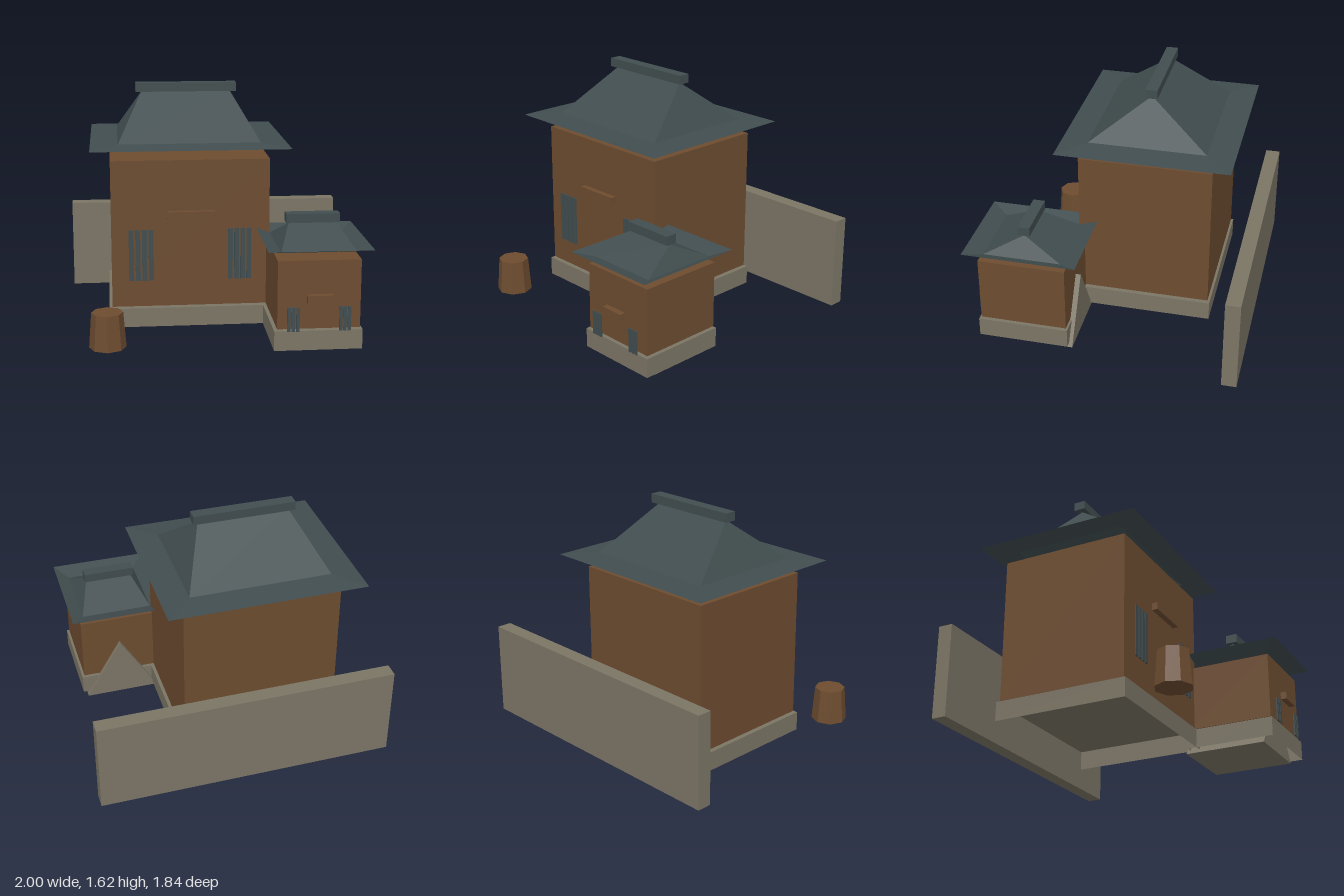
import * as THREE from 'three';

const wood = new THREE.MeshStandardMaterial({ color: 0x6d4c30, flatShading: true, side: THREE.DoubleSide });
wood.name = 'brown timber';
const stone = new THREE.MeshStandardMaterial({ color: 0x7b7565, flatShading: true, side: THREE.DoubleSide });
stone.name = 'grey stone';
const slate = new THREE.MeshStandardMaterial({ color: 0x414d4f, flatShading: true, side: THREE.DoubleSide });
slate.name = 'slate tile';

function add(parent, name, geometry, material) {
  const mesh = new THREE.Mesh(geometry, material);
  mesh.name = name;
  parent.add(mesh);
  return mesh;
}

// Box given by its limits along each axis
function box(parent, name, material, [x0, x1], [y0, y1], [z0, z1]) {
  const geometry = new THREE.BoxGeometry(x1 - x0, y1 - y0, z1 - z0);
  geometry.translate((x0 + x1) / 2, (y0 + y1) / 2, (z0 + z1) / 2);
  return add(parent, name, geometry, material);
}

// Plinth with an open underside
function plinth(parent, x, y, z) {
  const mesh = box(parent, 'plinth', stone, x, y, z);
  const index = Array.from(mesh.geometry.index.array);
  index.splice(18, 6); // drop the bottom face
  mesh.geometry.setIndex(index);
  mesh.geometry.clearGroups();
}

// Rectangular rings, each [x0, x1, z0, z1, y], joined into a shell
function ringShell(rings) {
  const positions = [];
  const corners = rings.map(([x0, x1, z0, z1, y]) =>
    [[x0, y, z1], [x1, y, z1], [x1, y, z0], [x0, y, z0]]);
  for (let r = 0; r < corners.length - 1; r++) {
    for (let i = 0; i < 4; i++) {
      const j = (i + 1) % 4;
      const a = corners[r][i], b = corners[r][j];
      const c = corners[r + 1][j], d = corners[r + 1][i];
      positions.push(...a, ...b, ...c, ...a, ...c, ...d);
    }
  }
  const geometry = new THREE.BufferGeometry();
  geometry.setAttribute('position', new THREE.Float32BufferAttribute(positions, 3));
  geometry.computeVertexNormals();
  return geometry;
}

// Row of upright lattice bars
function lattice(parent, count, [x0, x1], y, z) {
  const group = new THREE.Group();
  group.name = 'latticeWindow';
  const pitch = (x1 - x0) / (count - 0.25);
  for (let i = 0; i < count; i++) {
    const left = x0 + i * pitch;
    box(group, 'latticeBar', slate, [left, left + pitch * 0.75], y, z);
  }
  parent.add(group);
}

function house(name, s) {
  const group = new THREE.Group();
  group.name = name;
  plinth(group, s.plinth[0], [0.025, 0.155], s.plinth[1]);
  box(group, 'walls', wood, ...s.walls);
  // Eave ring followed by the hipped slopes up to the ridge line
  add(group, 'hippedRoof', ringShell(s.roof), slate);
  box(group, 'ridgeCap', slate, ...s.ridge);
  box(group, 'doorLintel', wood, ...s.lintel);
  for (const x of s.windowsX) lattice(group, s.bars, x, s.windowY, s.windowZ);
  return group;
}

export function createModel() {
  const model = new THREE.Group();
  model.name = 'courtyardHouses';

  model.add(house('mainHouse', {
    plinth: [[-0.73, 0.37], [-0.63, 0.3]],
    walls: [[-0.71, 0.35], [0.165, 1.165], [-0.615, 0.28]],
    roof: [
      [-0.84, 0.48, -0.75, 0.41, 1.25],
      [-0.655, 0.295, -0.565, 0.225, 1.265],
      [-0.485, 0.125, -0.168, -0.167, 1.565],
    ],
    ridge: [[-0.525, 0.165], [1.565, 1.625], [-0.21, -0.13]],
    lintel: [[-0.335, -0.02], [0.775, 0.825], [0.29, 0.33]],
    windowsX: [[-0.595, -0.43], [0.07, 0.225]],
    bars: 4, windowY: [0.35, 0.7], windowZ: [0.296, 0.305],
  }));

  model.add(house('sideHouse', {
    plinth: [[0.31, 0.88], [0.235, 0.845]],
    walls: [[0.33, 0.865], [0.165, 0.615], [0.245, 0.83]],
    roof: [
      [0.26, 0.93, 0.155, 0.915, 0.695],
      [0.355, 0.84, 0.275, 0.795, 0.658],
      [0.44, 0.755, 0.535, 0.536, 0.79],
    ],
    ridge: [[0.42, 0.77], [0.795, 0.855], [0.495, 0.575]],
    lintel: [[0.515, 0.68], [0.347, 0.397], [0.843, 0.883]],
    windowsX: [[0.39, 0.47], [0.725, 0.8]],
    bars: 3, windowY: [0.155, 0.315], windowZ: [0.85, 0.859],
  }));

  // Wedge-shaped stone under the side house
  const triangle = new THREE.Shape([
    new THREE.Vector2(0.34, 0), new THREE.Vector2(0.85, 0), new THREE.Vector2(0.595, 0.42),
  ]);
  const wedge = new THREE.ExtrudeGeometry(triangle, { depth: 0.56, bevelEnabled: false });
  wedge.translate(0, 0, 0.21);
  add(model, 'stoneWedge', wedge, stone);

  // Rear boundary wall
  box(model, 'boundaryWall', stone, [-1, 1], [0, 0.635], [-0.92, -0.82]);

  // Eight-sided tub in the yard
  const tub = add(model, 'tub', new THREE.CylinderGeometry(0.103, 0.121, 0.235, 8), wood);
  tub.position.set(-0.745, 0.128, 0.63);

  return model;
}
